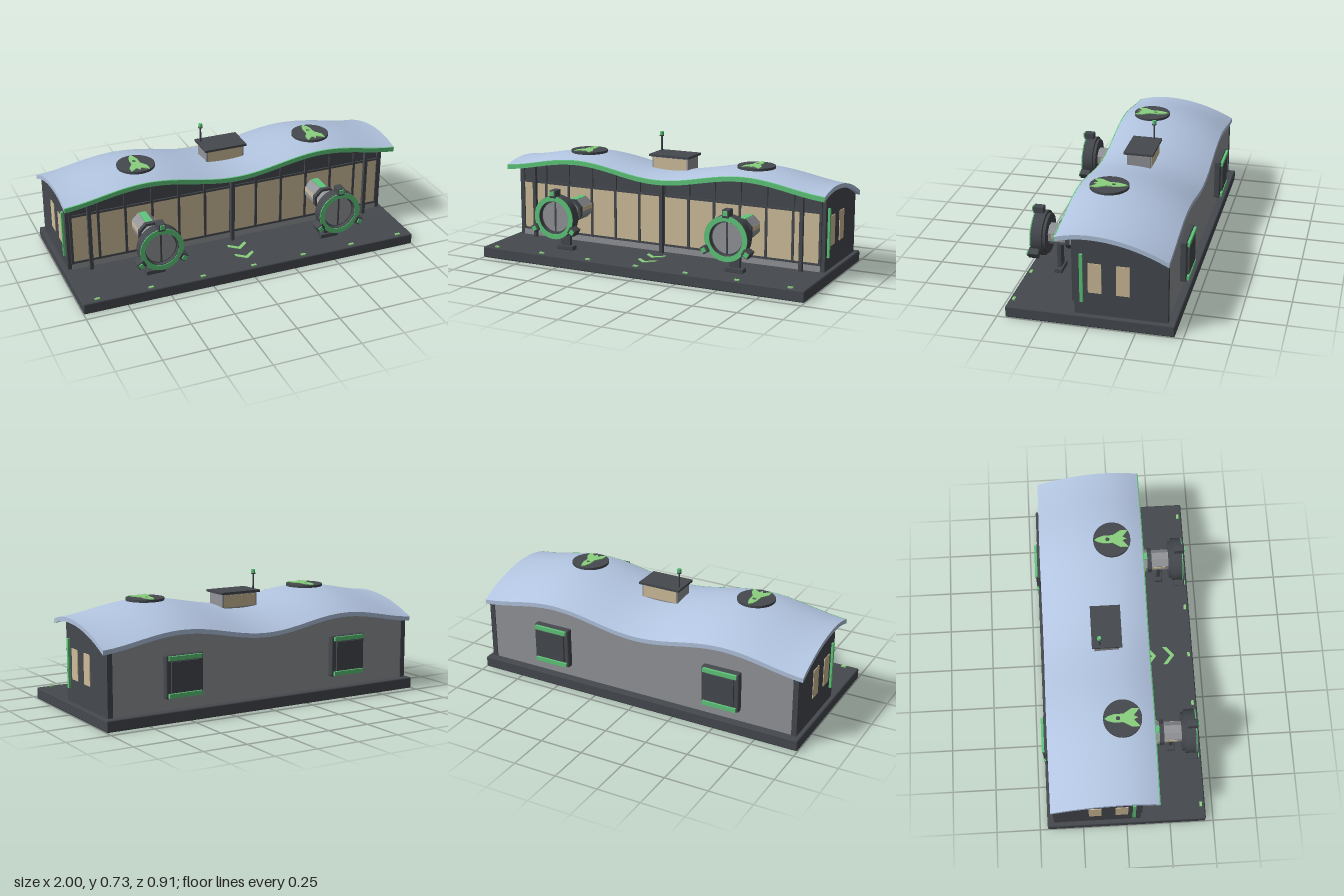
import * as THREE from 'three';
import { toCreasedNormals } from 'three/addons/utils/BufferGeometryUtils.js';
import { RoundedBoxGeometry } from 'three/addons/geometries/RoundedBoxGeometry.js';

const mat = (name, color, extra = {}) => new THREE.MeshStandardMaterial({ name, color, ...extra });

// Upper surface of the wavy roof
const roofTop = (x, z) =>
  0.532 - (z > 0 ? 0.9 : 0.61) * z * z + 0.033 * (1 - Math.cos((2 * Math.PI * x) / 1.06));
const roofThick = 0.025;

export function createModel() {
  const root = new THREE.Group();
  root.name = 'station';
  const dark = mat('dark panel', 0x45494e);
  const grey = mat('grey metal', 0x929498);
  const glass = mat('warm window', 0xcfbd9b);
  const green = mat('green trim', 0x5fc67a);
  const lime = mat('light green marking', 0x8ad07f);
  const blue = mat('roof blue', 0xb2c4e0);

  const add = (name, geo, m, x = 0, y = 0, z = 0, parent = root) => {
    const mesh = new THREE.Mesh(geo, m);
    mesh.name = name;
    mesh.position.set(x, y, z);
    parent.add(mesh);
    return mesh;
  };
  // Box given by its limits on each axis
  const box = (name, m, x0, x1, y0, y1, z0, z1, parent = root) =>
    add(name, new THREE.BoxGeometry(x1 - x0, y1 - y0, z1 - z0), m,
      (x0 + x1) / 2, (y0 + y1) / 2, (z0 + z1) / 2, parent);
  const extrude = (shape, depth) =>
    new THREE.ExtrudeGeometry(shape, { depth, bevelEnabled: false, curveSegments: 24 });
  // Prism along z with flat sides facing the axes
  const prism = (name, m, r, z0, z1, parent) => {
    const g = new THREE.CylinderGeometry(r, r, z1 - z0, 8).rotateY(Math.PI / 8).rotateX(Math.PI / 2);
    return add(name, toCreasedNormals(g, 0.3), m, 0, 0, (z0 + z1) / 2, parent);
  };

  // Base slab
  add('base', new RoundedBoxGeometry(2, 0.065, 0.91, 1, 0.008), dark, 0, 0.0325, 0);

  // Roof and front trim, boxes bent to the wave
  const bent = (h, z0, z1, segZ) => {
    const g = new THREE.BoxGeometry(2, h, z1 - z0, 72, 1, segZ).translate(0, -roofThick / 2, (z0 + z1) / 2);
    const p = g.attributes.position;
    for (let i = 0; i < p.count; i++) p.setY(i, p.getY(i) + roofTop(p.getX(i), p.getZ(i)));
    g.computeVertexNormals();
    return g;
  };
  add('roof', bent(roofThick, -0.422, 0.174, 24), blue);
  add('roofTrim', bent(0.026, 0.174, 0.18, 1), green);

  // Front and back walls with tops under the roof
  const waveWall = (name, m, y0, z, depth) => {
    const s = new THREE.Shape([new THREE.Vector2(-0.95, y0), new THREE.Vector2(0.95, y0)]);
    for (let i = 0; i <= 48; i++) {
      const x = 0.95 - (1.9 * i) / 48;
      s.lineTo(x, Math.min(roofTop(x, z), roofTop(x, z + depth)) - 0.015);
    }
    add(name, extrude(s, depth), m, 0, 0, z);
  };
  waveWall('frontWall', dark, 0.06, 0.06, 0.02);
  waveWall('backWall', grey, 0.06, -0.41, 0.02);

  // Glazed front
  box('plinth', grey, -0.95, 0.95, 0.065, 0.103, 0.075, 0.086);
  box('lowerRail', dark, -0.95, 0.95, 0.1, 0.112, 0.075, 0.088);
  box('upperRail', dark, -0.95, 0.95, 0.39, 0.402, 0.075, 0.088);
  const pitch = 0.158;
  for (let i = -6; i <= 6; i++) {
    const x = i * pitch;
    box('mullion', dark, x - 0.007, x + 0.007, 0.1, roofTop(x, 0.088) - 0.015, 0.075, 0.09);
    if (i < 6) box('frontWindow', glass, x + 0.007, x + pitch - 0.007, 0.11, 0.391, 0.078, 0.084);
  }
  for (const x of [-0.85, 0, 0.85])
    box('frontPost', dark, x - 0.01, x + 0.01, 0.06, roofTop(x, 0.115) - 0.015, 0.105, 0.126);

  // Side walls
  const side = new THREE.Shape([new THREE.Vector2(0.415, 0.06), new THREE.Vector2(-0.08, 0.06)].reverse());
  for (let i = 0; i <= 20; i++) {
    const z = -0.415 + (0.495 * i) / 20;
    side.lineTo(-z, roofTop(0.96, z) - 0.015);
  }
  const sideGeo = extrude(side, 0.03).rotateY(Math.PI / 2);
  for (const s of [-1, 1]) {
    add('sideWall', sideGeo, dark, s > 0 ? 0.945 : -0.975);
    for (const z of [-0.029, -0.178])
      box('sideWindow', glass, s * 0.976 - 0.003, s * 0.976 + 0.003, 0.195, 0.365, z - 0.036, z + 0.036);
    box('sideLightStrip', green, s * 0.98 - 0.008, s * 0.98 + 0.008, 0.14, 0.415, 0.033, 0.05);
  }

  // Back hatches
  for (const x of [-0.535, 0.535]) {
    const h = new THREE.Group();
    h.name = 'backHatch';
    h.position.set(x, 0.248, -0.41);
    root.add(h);
    add('hatchFrame', new RoundedBoxGeometry(0.225, 0.235, 0.04, 1, 0.008), dark, 0, 0, -0.015, h);
    box('hatchPanel', dark, -0.085, 0.085, -0.082, 0.082, -0.046, -0.03, h);
    for (const s of [-1, 1])
      box('hatchLight', green, -0.1, 0.1, s * 0.1 - 0.012, s * 0.1 + 0.012, -0.048, -0.03, h);
  }

  // Airlock tunnels
  const housing = new THREE.LatheGeometry(
    [[0.05, 0.335], [0.11, 0.335], [0.11, 0.35], [0.125, 0.352], [0.125, 0.414], [0.094, 0.414], [0.094, 0.388], [0.05, 0.388]]
      .map(([r, z]) => new THREE.Vector2(r, z)), 40).rotateX(Math.PI / 2);
  const ringShape = new THREE.Shape().absarc(0, 0, 0.125, 0, Math.PI * 2);
  ringShape.holes.push(new THREE.Path().absarc(0, 0, 0.096, 0, Math.PI * 2, true));
  for (const x of [-0.535, 0.535]) {
    const a = new THREE.Group();
    a.name = 'airlock';
    a.position.set(x, 0.28, 0);
    root.add(a);
    prism('innerTunnel', grey, 0.066, 0.075, 0.215, a);
    prism('outerTunnel', grey, 0.059, 0.23, 0.34, a);
    prism('tunnelCollar', dark, 0.074, 0.21, 0.235, a);
    box('tunnelStripe', green, -0.02, 0.02, 0.058, 0.065, 0.085, 0.21, a);
    for (const s of [-1, 1]) {
      box('innerTunnelWindow', glass, s * 0.061 - 0.002, s * 0.061 + 0.002, -0.003, 0.024, 0.09, 0.2, a);
      box('outerTunnelWindow', glass, s * 0.055 - 0.002, s * 0.055 + 0.002, -0.005, 0.018, 0.24, 0.315, a);
    }
    add('airlockHousing', toCreasedNormals(housing, 0.5), dark, 0, 0, 0, a);
    add('airlockRing', extrude(ringShape, 0.006), green, 0, 0, 0.412, a);
    add('airlockDoor', new THREE.CylinderGeometry(0.086, 0.086, 0.01, 40).rotateX(Math.PI / 2), grey, 0, 0, 0.389, a);
    box('doorSeam', dark, -0.005, 0.005, -0.086, 0.086, 0.388, 0.398, a);
    for (let i = 0; i < 3; i++) {
      const c = new THREE.Group();
      c.name = 'clamp';
      c.rotation.z = (i * Math.PI * 2) / 3;
      a.add(c);
      add('clampBlock', new RoundedBoxGeometry(0.042, 0.045, 0.06, 1, 0.005), dark, 0, 0.138, 0.395, c);
      box('clampLight', green, -0.013, 0.013, 0.13, 0.155, 0.42, 0.432, c);
    }
    // Stand
    box('standPost', dark, -0.03, 0.03, -0.2, -0.05, 0.27, 0.292, a);
    add('standFoot', new RoundedBoxGeometry(0.11, 0.026, 0.045, 1, 0.004), dark, 0, -0.203, 0.281, a);
  }

  // Roof discs with rocket signs
  const half = [[0, 0.1], [0.014, 0.08], [0.024, 0.045], [0.024, -0.005], [0.052, -0.05], [0.052, -0.095],
    [0.022, -0.07], [0.012, -0.062]];
  const rocket = new THREE.Shape([
    ...half.slice().reverse().map(([x, y]) => new THREE.Vector2(x, y)),
    ...half.slice(1).map(([x, y]) => new THREE.Vector2(-x, y)),
    new THREE.Vector2(0, -0.085)]);
  rocket.holes.push(new THREE.Path().absarc(0, 0.025, 0.012, 0, Math.PI * 2, true));
  const rocketGeo = extrude(rocket, 0.006).rotateX(-Math.PI / 2);
  for (const x of [-0.535, 0.535]) {
    add('roofDisc', new THREE.CylinderGeometry(0.107, 0.107, 0.014, 40), dark, x, 0.6, 0);
    add('rocketSign', rocketGeo, lime, x, 0.606, 0);
  }

  // Rooftop hut and antenna
  box('hutBody', grey, -0.113, 0.113, 0.49, 0.607, -0.132, 0.004);
  box('hutFrontWindow', glass, -0.105, 0.105, 0.53, 0.598, 0.003, 0.007);
  box('hutBackWindow', glass, -0.105, 0.105, 0.53, 0.598, -0.135, -0.131);
  box('hutRoof', dark, -0.127, 0.125, 0.605, 0.618, -0.147, 0.023);
  add('antennaMast', new THREE.CylinderGeometry(0.005, 0.005, 0.1, 10), dark, -0.108, 0.663, -0.104);
  add('antennaCap', new THREE.CylinderGeometry(0.013, 0.013, 0.006, 12), dark, -0.108, 0.708, -0.104);
  add('antennaLight', new THREE.CylinderGeometry(0.011, 0.012, 0.02, 12), green, -0.108, 0.721, -0.104);

  // Ground chevrons and edge lights
  const chevron = new THREE.Shape([[-0.055, 0.035], [0, -0.01], [0.055, 0.035], [0.055, 0.01], [0, -0.035], [-0.055, 0.01]]
    .reverse().map(([x, y]) => new THREE.Vector2(x, y)));
  const chevronGeo = extrude(chevron, 0.004).rotateX(-Math.PI / 2);
  for (const z of [0.2, 0.31]) add('chevron', chevronGeo, lime, 0, 0.0645, z);
  for (let i = -3; i <= 3; i++)
    box('edgeLight', lime, i * 0.305 - 0.014, i * 0.305 + 0.014, 0.064, 0.072, 0.423, 0.438);

  return root;
}
